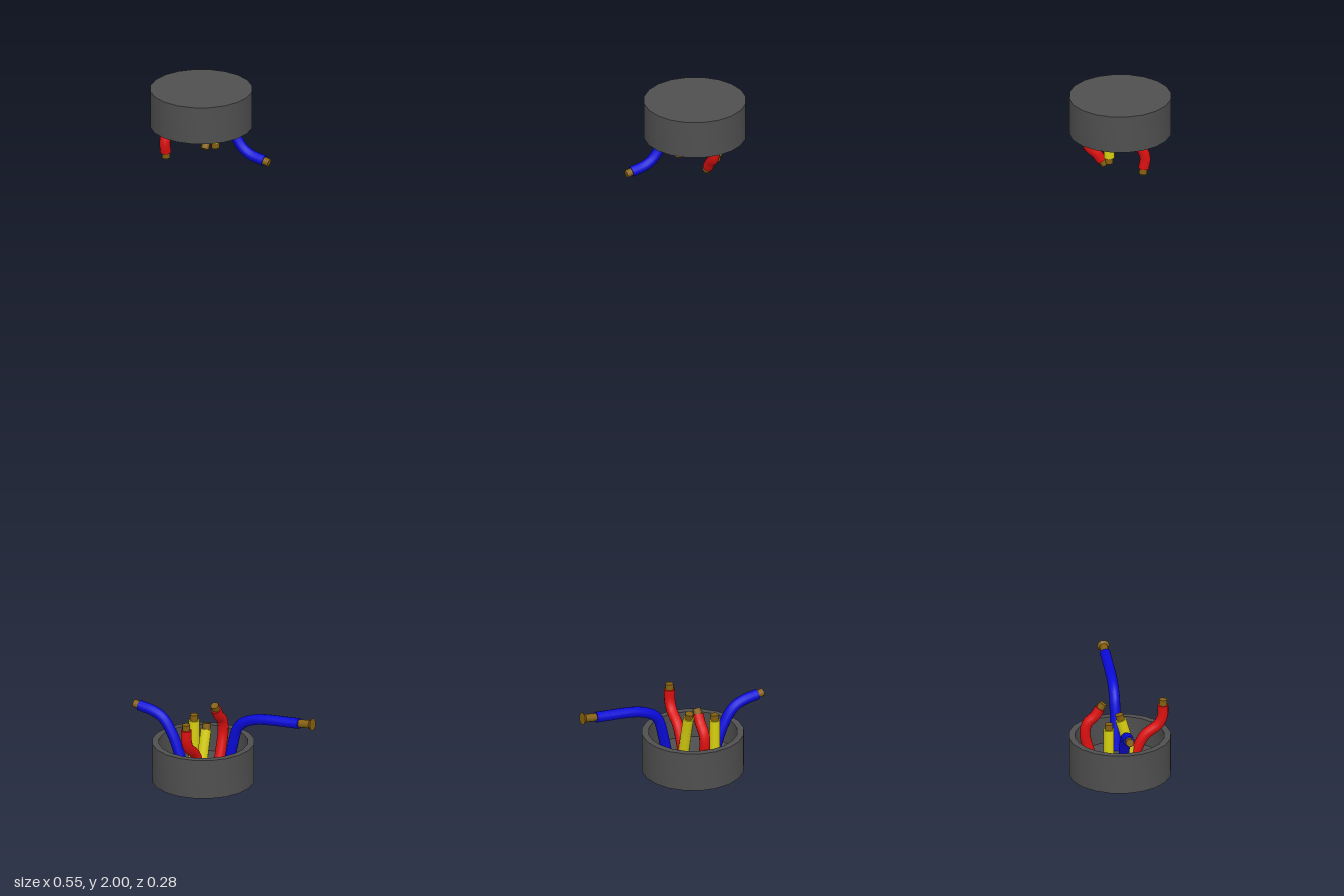
import * as THREE from 'three';
import { toCreasedNormals } from 'three/addons/utils/BufferGeometryUtils.js';

const mat = (color) => new THREE.MeshStandardMaterial({ color });
const V = (p) => new THREE.Vector3(...p);

export function createModel() {
  const root = new THREE.Group();
  const mats = {
    cup: mat(0x4f4f4f), blue: mat(0x0a0ad8), red: mat(0xdc1010),
    yellow: mat(0xd8d010), copper: mat(0x86600f),
  };
  const R = 0.138;

  // Hollow round cup, open at the top
  function cup(name, h) {
    const profile = [[0, 0], [R, 0], [R, h], [R - 0.018, h], [R - 0.018, 0.035], [0, 0.035]]
      .map(([x, y]) => new THREE.Vector2(x, y));
    const geo = toCreasedNormals(new THREE.LatheGeometry(profile, 20).toNonIndexed(), 0.6);
    const mesh = new THREE.Mesh(geo, mats.cup);
    mesh.name = name;
    return mesh;
  }

  // Insulated wire with a bare copper end
  function wire(name, color, points, bare = 0.016, flare = 0.011) {
    const g = new THREE.Group();
    g.name = name;
    const curve = new THREE.CatmullRomCurve3(points.map(V));
    const end = curve.getPoint(1);
    const dir = curve.getTangent(1);

    const sleeve = new THREE.Mesh(new THREE.TubeGeometry(curve, 24, 0.0145, 12), mats[color]);
    sleeve.name = 'insulation';

    const cap = new THREE.Mesh(new THREE.CircleGeometry(0.0145, 12), mats[color]);
    cap.name = 'insulationEnd';
    cap.position.copy(end);
    cap.quaternion.setFromUnitVectors(V([0, 0, 1]), dir);

    const tip = new THREE.Group();
    tip.name = 'copperEnd';
    tip.position.copy(end);
    tip.quaternion.setFromUnitVectors(V([0, 1, 0]), dir);
    const core = new THREE.Mesh(new THREE.CylinderGeometry(0.011, 0.011, bare, 10), mats.copper);
    core.name = 'copperCore';
    core.position.y = bare / 2;
    tip.add(core);
    if (flare > 0.011) {
      const splay = new THREE.Mesh(new THREE.CylinderGeometry(flare, 0.011, 0.008, 10), mats.copper);
      splay.name = 'splayedStrands';
      splay.position.y = bare - 0.004;
      tip.add(splay);
    }
    g.add(sleeve, cap, tip);
    return g;
  }

  // Lower cup with upward wires
  const lower = new THREE.Group();
  lower.name = 'lowerEnd';
  const lowerCup = cup('lowerCup', 0.11);
  lowerCup.position.x = -0.063;
  lower.add(
    lowerCup,
    wire('longBlueWire', 'blue', [[0.01, 0.03, 0], [0.025, 0.11, 0], [0.045, 0.175, 0], [0.09, 0.202, 0], [0.23, 0.218, 0]], 0.04, 0.017),
    wire('shortBlueWire', 'blue', [[-0.125, 0.03, 0], [-0.155, 0.11, 0], [-0.185, 0.155, 0], [-0.215, 0.17, 0], [-0.257, 0.178, 0]]),
    wire('frontRedWire', 'red', [[-0.052, 0.03, 0.035], [-0.052, 0.1, 0.068], [-0.052, 0.13, 0.105], [-0.052, 0.155, 0.117], [-0.052, 0.187, 0.118]]),
    wire('backRedWire', 'red', [[-0.052, 0.03, -0.07], [-0.052, 0.11, -0.092], [-0.052, 0.145, -0.086], [-0.052, 0.165, -0.066], [-0.052, 0.187, -0.052]]),
    wire('leaningYellowWire', 'yellow', [[-0.052, 0.03, 0.035], [-0.052, 0.1, 0.018], [-0.052, 0.15, 0.004]]),
    wire('straightYellowWire', 'yellow', [[-0.11, 0.03, -0.036], [-0.11, 0.15, -0.036]]),
  );

  // Upper cup, turned over, with hanging wires
  const upper = new THREE.Group();
  upper.name = 'upperEnd';
  const upperCup = cup('upperCup', 0.105);
  upperCup.rotation.x = Math.PI;
  upperCup.position.set(-0.069, 2, 0);
  upper.add(
    upperCup,
    wire('upperBlueWire', 'blue', [[0.01, 1.97, 0], [0.03, 1.895, 0], [0.055, 1.855, 0], [0.08, 1.838, 0], [0.122, 1.828, 0]]),
    wire('upperFrontRedWire', 'red', [[-0.149, 1.97, 0.005], [-0.149, 1.9, 0.025], [-0.149, 1.875, 0.048], [-0.149, 1.85, 0.057], [-0.149, 1.82, 0.053]]),
    wire('upperBackRedWire', 'red', [[-0.082, 1.97, -0.075], [-0.082, 1.895, -0.092], [-0.082, 1.862, -0.087], [-0.082, 1.84, -0.066], [-0.082, 1.82, -0.052]]),
    wire('upperYellowWire', 'yellow', [[-0.116, 1.97, -0.036], [-0.116, 1.842, -0.036]]),
    wire('upperShortYellowWire', 'yellow', [[-0.024, 1.97, 0.01], [-0.024, 1.856, 0.005]]),
  );

  root.add(lower, upper);
  return root;
}
